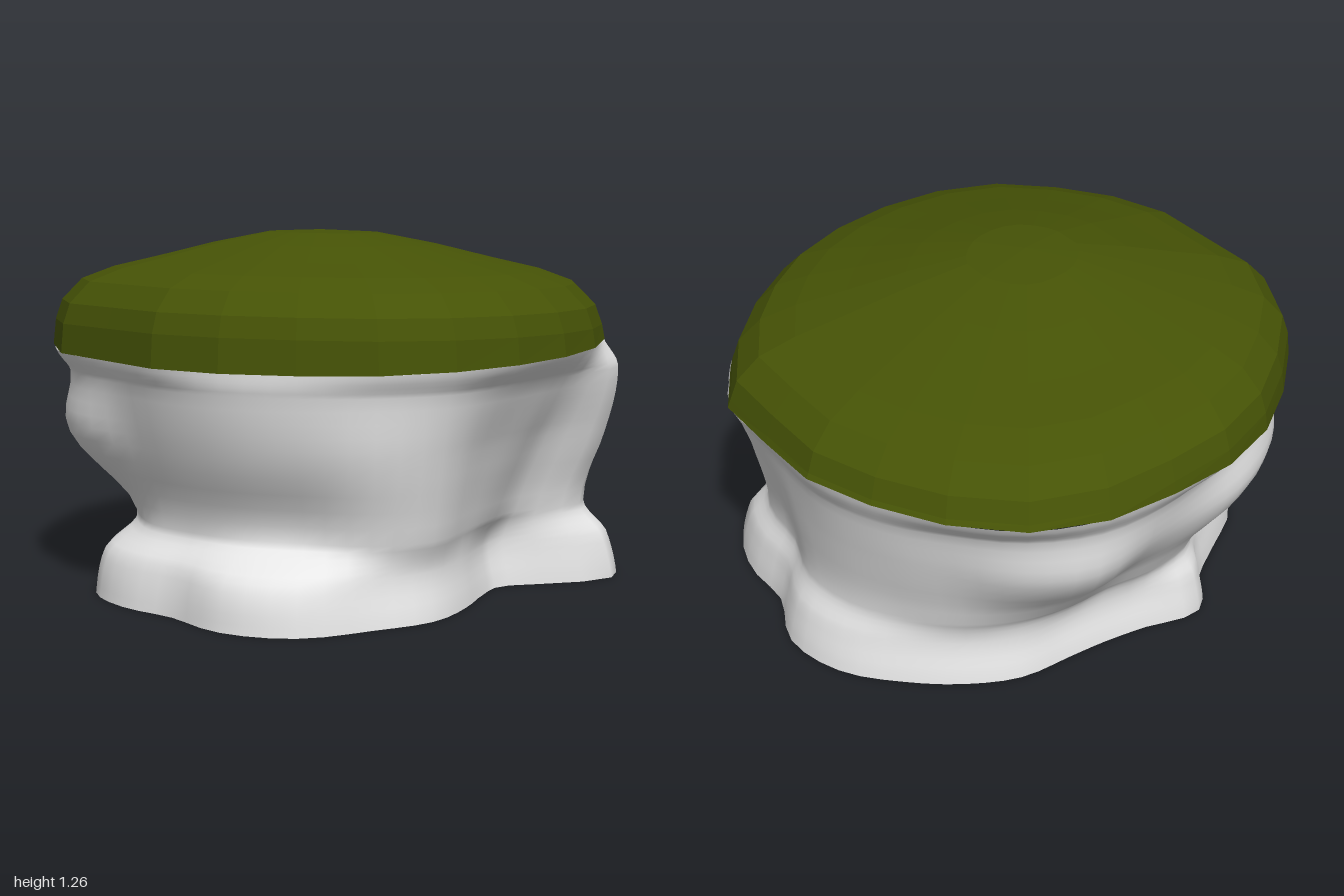
import * as THREE from 'three';

// Radii every 15 degrees, starting at +x and turning toward +z
const RIM = [.97, .97, .98, 1, 1.01, .99, .99, .99, .97, 1.02, 1.01, .98, .98, .98, .98, 1.02, 1.04, 1.02, 1, 1, .98, 1.02, .99, .97];
const UPPER = [.91, .88, .9, .95, .97, .97, .97, .95, .93, .96, .95, .92, .88, .88, .91, .95, .95, .93, .94, .94, .92, .95, 1, 1.02];
const MIDDLE = [.8, .78, .8, .9, .94, .92, .91, .89, .88, .95, .96, .93, .89, .84, .84, .92, .91, .87, .88, .89, .88, .88, .94, .98];
const WAIST = [.69, .67, .72, .84, .86, .81, .8, .79, .79, .75, .72, .71, .71, .68, .65, .69, .73, .77, .8, .84, .85, .82, .89, .89];
const BASE = [.67, .65, .73, .84, .9, 1, .99, .9, .92, .91, .79, .73, .78, .67, .63, .65, .72, .77, .83, .91, .94, .89, .99, 1.01];
const SHOULDER = BASE.map(r => r * 0.96);

// Smooth interpolation through four values
function spline(a, b, c, d, t) {
  return b + 0.5 * t * (c - a + t * (2 * a - 5 * b + 4 * c - d + t * (3 * (b - c) + d - a)));
}

// Radius of an outline at angle index u (0 to 24)
function radiusAt(outline, u) {
  const n = outline.length, i = Math.floor(u);
  const r = k => outline[(i + k + n) % n];
  return spline(r(-1), r(0), r(1), r(2), u - i);
}

// Skin closed rings; point(i, j) returns [x, y, z]
function loft(segments, rings, point) {
  const positions = [], index = [];
  for (let j = 0; j < rings; j++) {
    for (let i = 0; i < segments; i++) positions.push(...point(i, j));
  }
  for (let j = 0; j < rings - 1; j++) {
    for (let i = 0; i < segments; i++) {
      const a = j * segments + i, b = j * segments + (i + 1) % segments;
      const c = a + segments, d = b + segments;
      index.push(a, c, b, b, c, d);
    }
  }
  const geometry = new THREE.BufferGeometry();
  geometry.setAttribute('position', new THREE.Float32BufferAttribute(positions, 3));
  geometry.setIndex(index);
  geometry.computeVertexNormals();
  return geometry;
}

// The rim rises slightly toward the back
const rimHeight = z => 0.865 - 0.02 * z;

function rockGeometry() {
  const levels = [[0, BASE], [.16, SHOULDER], [.27, WAIST], [.55, MIDDLE], [.77, UPPER], [.865, RIM]];
  const segments = 72, steps = 5, last = levels.length - 1;
  return loft(segments, last * steps + 1, (i, j) => {
    const k = Math.min(Math.floor(j / steps), last - 1), t = j / steps - k;
    const u = i * 24 / segments, angle = u * Math.PI / 12;
    const r = n => radiusAt(levels[Math.max(0, Math.min(last, n))][1], u);
    // stay just inside the cap at the very top
    const inset = k === last - 1 ? 1 - 0.008 * t : 1;
    const radius = inset * spline(r(k - 1), r(k), r(k + 1), r(k + 2), t);
    const x = radius * Math.cos(angle), z = radius * Math.sin(angle);
    const y = THREE.MathUtils.lerp(levels[k][0], levels[k + 1][0], t);
    // only the top section follows the tilted rim
    return [x, k === last - 1 ? y + t * (rimHeight(z) - 0.865) : y, z];
  });
}

function capGeometry() {
  // scale of the rim outline, height
  const profile = [[1, .865], [.99, .93], [.965, 1], [.89, 1.075], [.77, 1.12],
    [.6, 1.16], [.4, 1.21], [.2, 1.25], [0, 1.26]];
  return loft(24, profile.length, (i, j) => {
    const [scale, height] = profile[j], angle = i * Math.PI / 12;
    const x = RIM[i] * scale * Math.cos(angle);
    const z0 = RIM[i] * scale * Math.sin(angle);
    const z = z0 + 0.13 * (1 - scale); // summit sits toward the front
    return [x, j === 0 ? rimHeight(z) : height + 0.03 * z0, z];
  });
}

export function createModel() {
  const rockMaterial = new THREE.MeshStandardMaterial({ color: 0xe7e7e7, side: THREE.DoubleSide });
  rockMaterial.name = 'pale rock';
  const grassMaterial = new THREE.MeshStandardMaterial({ color: 0x465306, side: THREE.DoubleSide, flatShading: true });
  grassMaterial.name = 'moss green';

  const model = new THREE.Group();
  model.name = 'rockPlatform';

  // Hollow rock wall, open underneath
  const rock = new THREE.Mesh(rockGeometry(), rockMaterial);
  rock.name = 'rockWall';

  // Domed grass top
  const cap = new THREE.Mesh(capGeometry(), grassMaterial);
  cap.name = 'grassCap';

  model.add(rock, cap);
  return model;
}
